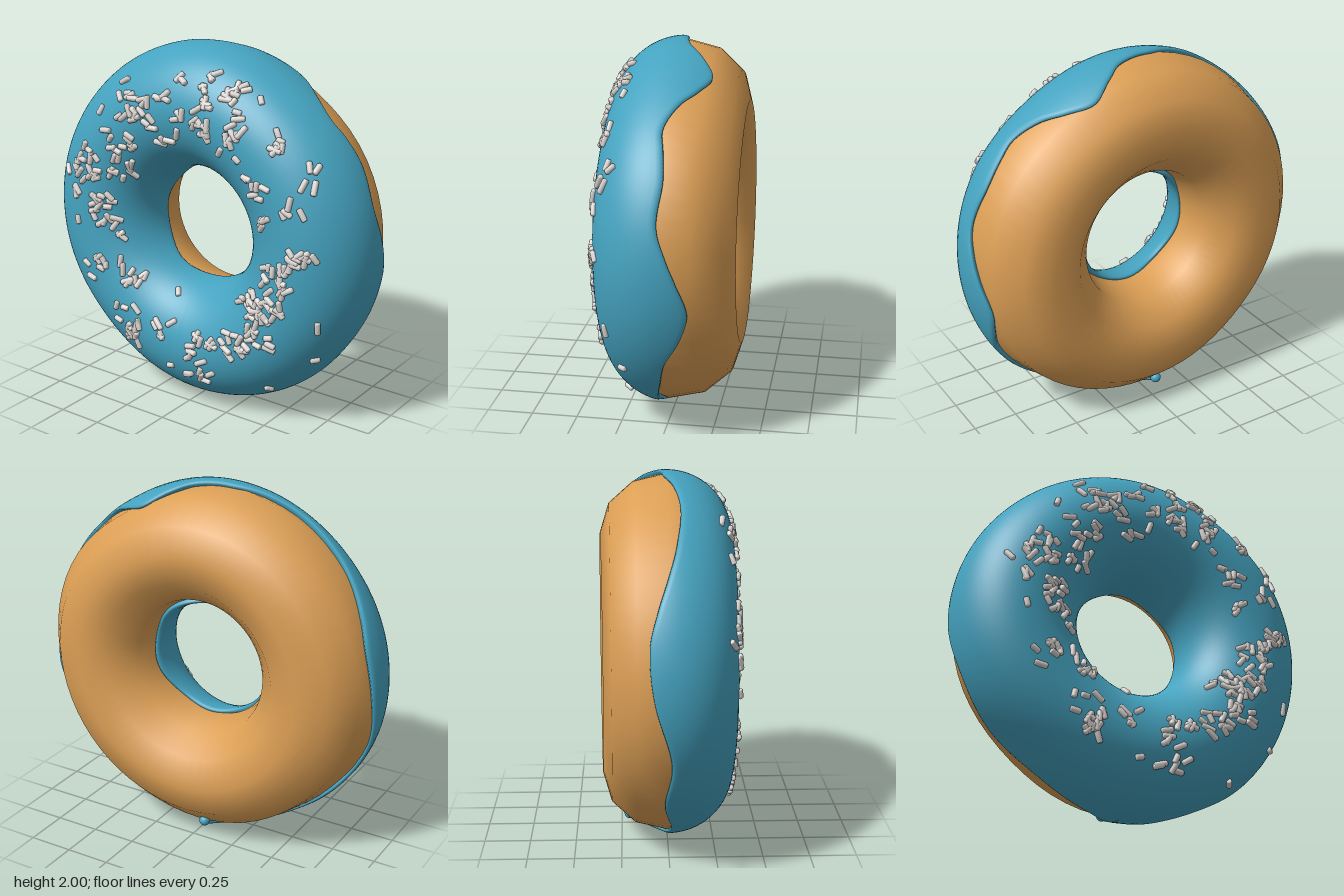
import * as THREE from 'three';
import { mergeGeometries } from 'three/addons/utils/BufferGeometryUtils.js';

const RING = 0.66, CENTRE_Y = 1, RAD = Math.PI / 180;
const bump = (deg, at, width) => {
  const d = ((deg - at + 540) % 360) - 180;
  return Math.exp(-(d * d) / (width * width));
};

// Point on the ring: a runs around the hole, phi around the dough, lift 0 = dough, 1 = icing
function ringPoint(a, phi, lift) {
  const deg = ((a / RAD) % 360 + 360) % 360;
  const s = Math.sin(phi);
  const depth = (s > 0 ? 0.325 : 0.355 + 0.02 * Math.cos(a)) + 0.02 * lift;
  let r = RING + (0.32 + 0.02 * lift) * Math.cos(phi);
  const wobble = 0.028 * bump(deg, 58, 22) + 0.03 * bump(deg, 228, 24) + 0.008 * bump(deg, 135, 25);
  r *= 1 - wobble * Math.max(0, (r - 0.32) / 0.68);
  return new THREE.Vector3(r * Math.cos(a), CENTRE_Y + r * Math.sin(a), depth * s);
}

// Smooth surface from rows of points, closed around the hole
function ringSurface(nu, rows, closed, f) {
  const pos = [], idx = [];
  for (let i = 0; i < nu; i++) for (let j = 0; j < rows; j++) pos.push(...f((i / nu) * 2 * Math.PI, j).toArray());
  for (let i = 0; i < nu; i++) for (let j = 0; j < (closed ? rows : rows - 1); j++) {
    const i2 = (i + 1) % nu, j2 = (j + 1) % rows;
    const a = i * rows + j, b = i2 * rows + j, c = i2 * rows + j2, d = i * rows + j2;
    idx.push(a, b, c, a, c, d);
  }
  const g = new THREE.BufferGeometry();
  g.setAttribute('position', new THREE.Float32BufferAttribute(pos, 3));
  g.setIndex(idx);
  g.computeVertexNormals();
  return g;
}

// Outer icing edge: [degrees, z]
const EDGE = [
  [0, -0.12], [5, -0.085], [15, -0.03], [28, -0.05], [37, -0.035], [44, -0.02], [53, -0.08], [60, -0.16],
  [69, -0.215], [78, -0.14], [84, -0.07], [92, -0.03], [97, -0.02], [107, 0.03], [120, 0.06], [135, 0.03],
  [145, -0.015], [155, -0.07], [165, -0.11], [180, -0.09], [200, 0.0], [220, -0.03], [240, 0.01],
  [258, -0.04], [267, -0.13], [275, -0.11], [283, -0.01], [293, 0.045], [305, 0.035], [320, -0.01],
  [330, -0.05], [340, -0.14], [349, -0.18], [360, -0.12],
];
function edgeZ(a) {
  const deg = (a / RAD) % 360;
  const k = Math.max(1, EDGE.findIndex(e => e[0] >= deg));
  const n = EDGE.length - 1;
  const P = i => (i < 0 ? [EDGE[n - 1][0] - 360, EDGE[n - 1][1]] : i > n ? [EDGE[1][0] + 360, EDGE[1][1]] : EDGE[i]);
  const [p0, p1, p2, p3] = [P(k - 2), P(k - 1), P(k), P(k + 1)];
  const w = p2[0] - p1[0], t = (deg - p1[0]) / w;
  const m1 = (p2[1] - p0[1]) / (p2[0] - p0[0]) * w, m2 = (p3[1] - p1[1]) / (p3[0] - p1[0]) * w;
  const t2 = t * t, t3 = t2 * t;
  const z = (2 * t3 - 3 * t2 + 1) * p1[1] + (t3 - 2 * t2 + t) * m1 + (3 * t2 - 2 * t3) * p2[1] + (t3 - t2) * m2;
  return z - 0.09 * bump(deg, 267, 1.6);
}
const innerZ = a => -0.04 + 0.06 * Math.cos(a - 225 * RAD) + 0.012 * Math.sin(5 * a);
const phiAt = (z, a) => Math.asin(z / (z > 0 ? 0.345 : 0.375 + 0.02 * Math.cos(a)));

// Icing shell with a rounded lip on both edges
const LIP = [[0.04, -0.7], [0, 0.2], [0.012, 0.7], [0.05, 0.95], [0.1, 1]];
function icingGeometry() {
  const mid = 36, rows = mid + 2 * LIP.length, L = LIP.length;
  return ringSurface(300, rows, false, (a, j) => {
    const p0 = phiAt(edgeZ(a), a), p1 = Math.PI - phiAt(innerZ(a), a);
    if (j < L) return ringPoint(a, p0 + LIP[j][0], LIP[j][1]);
    if (j >= rows - L) { const e = LIP[rows - 1 - j]; return ringPoint(a, p1 - e[0], e[1]); }
    const t = (j - L + 1) / (mid + 1);
    return ringPoint(a, p0 + 0.1 + t * (p1 - p0 - 0.2), 1);
  });
}

// Sprinkle clusters: [x, y, spread, count]
const CLUSTERS = [
  [0.2, 1.83, 0.1, 11], [0.34, 1.8, 0.07, 8], [-0.12, 1.76, 0.05, 4], [-0.34, 1.66, 0.08, 9],
  [-0.2, 1.64, 0.08, 9], [0.1, 1.63, 0.11, 13], [0.35, 1.65, 0.08, 8], [0.6, 1.62, 0.05, 7],
  [-0.08, 1.54, 0.09, 4], [-0.4, 1.47, 0.1, 10], [0.47, 1.37, 0.08, 7], [0.75, 1.44, 0.06, 4],
  [0.64, 1.31, 0.06, 3], [0.55, 1.16, 0.06, 4], [-0.62, 1.3, 0.1, 19], [-0.42, 1.32, 0.08, 9],
  [-0.7, 1.15, 0.04, 3], [-0.53, 1.05, 0.09, 14], [-0.44, 0.95, 0.06, 3], [0.72, 1.02, 0.08, 13],
  [0.62, 0.9, 0.1, 14], [-0.51, 0.77, 0.08, 6], [-0.35, 0.67, 0.08, 9], [-0.36, 0.47, 0.1, 9],
  [-0.34, 0.34, 0.07, 7], [-0.17, 0.43, 0.07, 4], [0.43, 0.72, 0.08, 11], [0.59, 0.72, 0.08, 12],
  [0.54, 0.6, 0.1, 14], [0.38, 0.47, 0.1, 12], [0.14, 0.43, 0.08, 7], [0.1, 0.27, 0.1, 10],
];
const SINGLES = [
  [0, 1.84], [-0.02, 1.85], [0.45, 1.8], [-0.4, 1.78], [-0.54, 1.61], [0.27, 1.52], [0.38, 1.5], [0.75, 1.27],
  [-0.79, 1.23], [-0.7, 0.96], [0.82, 1.05], [-0.65, 0.71], [-0.62, 0.63], [-0.1, 0.62], [-0.07, 0.48],
  [-0.07, 0.23], [0.5, 0.21], [0.78, 0.43], [0.82, 0.66],
];
function sprinkleGeometry() {
  let seed = 7;
  const rnd = () => (seed = (seed * 16807) % 2147483647) / 2147483647;
  const h = 0.5, profile = [[0, -h], [0.7, -h], [1, -h + 0.1], [1, h - 0.1], [0.7, h], [0, h]];
  const stick = new THREE.LatheGeometry(profile.map(p => new THREE.Vector2(...p)), 10);
  const parts = [], up = new THREE.Vector3(0, 1, 0);
  const place = (x, y) => {
    const a = Math.atan2(y - CENTRE_Y, x), r = Math.hypot(x, y - CENTRE_Y);
    const phi = Math.acos(THREE.MathUtils.clamp((r - RING) / 0.34, -0.8, 0.85));
    const p = ringPoint(a, phi, 1);
    const da = ringPoint(a + 0.01, phi, 1).sub(p).normalize();
    const dp = ringPoint(a, phi + 0.01, 1).sub(p).normalize();
    const n = da.clone().cross(dp).normalize(), turn = rnd() * Math.PI;
    const dir = da.multiplyScalar(Math.cos(turn)).addScaledVector(dp, Math.sin(turn));
    dir.addScaledVector(n, (rnd() - 0.5) * 0.3).normalize();
    const m = new THREE.Matrix4().compose(p.addScaledVector(n, 0.004),
      new THREE.Quaternion().setFromUnitVectors(up, dir),
      new THREE.Vector3(0.016, 0.045 + 0.035 * rnd(), 0.016));
    parts.push(stick.clone().applyMatrix4(m));
  };
  for (const [x, y, spread, count] of CLUSTERS) for (let i = 0; i < count; i++) {
    const t = rnd() * 2 * Math.PI, d = spread * Math.sqrt(rnd());
    place(x + d * Math.cos(t), y + d * Math.sin(t));
  }
  SINGLES.forEach(p => place(...p));
  return mergeGeometries(parts);
}

export function createModel() {
  const mat = (name, color) => Object.assign(new THREE.MeshStandardMaterial({ color }), { name });
  const dough = mat('golden dough', 0xdc9f55), icing = mat('blue icing', 0x45a3c0), sugar = mat('pale sugar', 0xdad5d2);
  icing.side = THREE.DoubleSide;
  const group = new THREE.Group();
  group.name = 'donut';
  const add = (name, geo, m) => {
    const mesh = new THREE.Mesh(geo, m);
    mesh.name = name;
    group.add(mesh);
    return mesh;
  };

  // Dough ring with a twelve-sided section
  add('dough', ringSurface(64, 12, true, (a, j) => ringPoint(a, (j / 12) * 2 * Math.PI, 0)), dough);
  add('icing', icingGeometry(), icing);

  // Round end of the drip underneath
  const dripA = 267 * RAD;
  const drip = add('icingDrip', new THREE.SphereGeometry(0.03, 20, 14), icing);
  drip.position.copy(ringPoint(dripA, phiAt(-0.215, dripA), 0.2));

  add('sprinkles', sprinkleGeometry(), sugar);
  return group;
}
